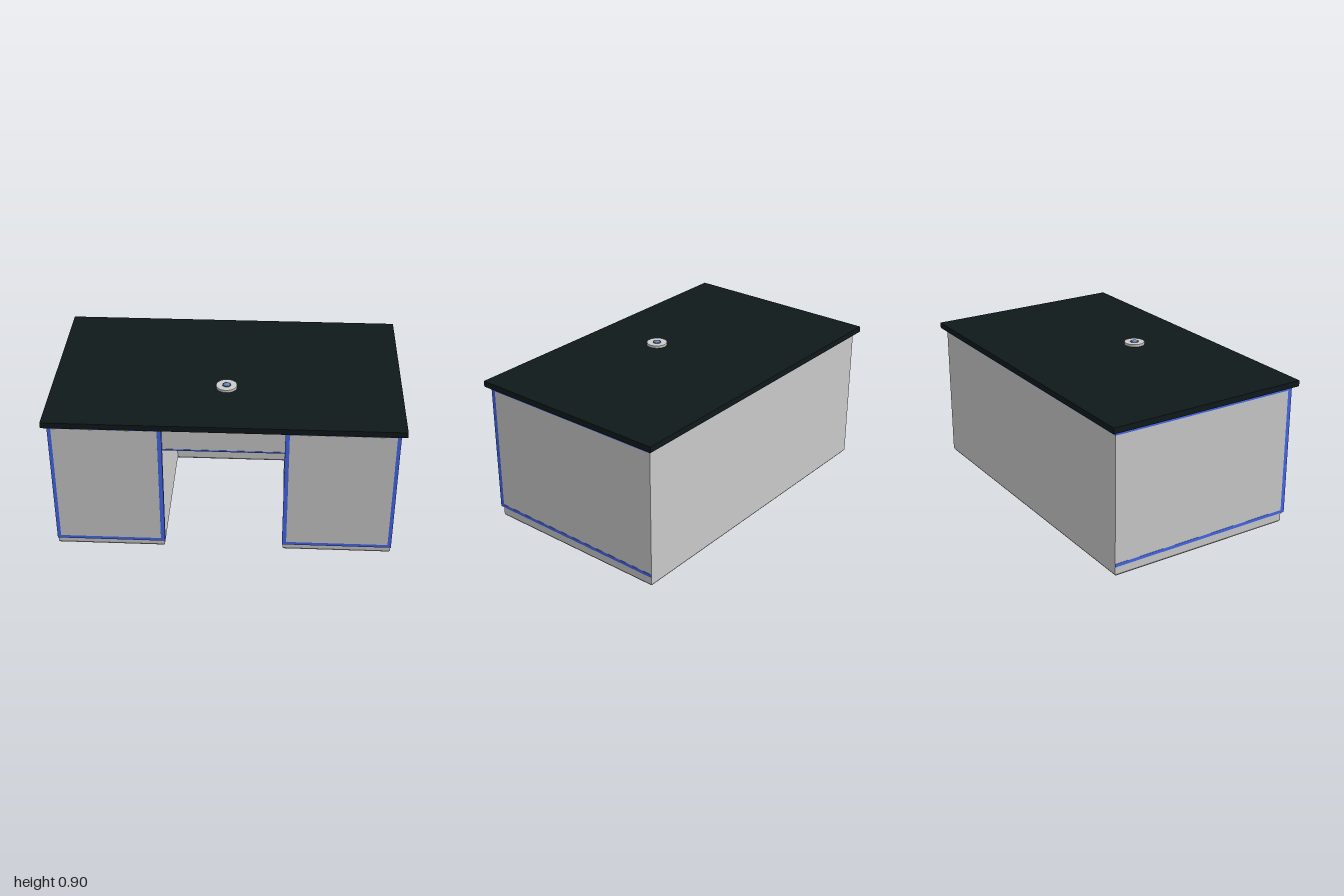
import * as THREE from 'three';

const mat = (color) => new THREE.MeshStandardMaterial({ color });
const GREY = mat(0xcccccc);
const BLUE = mat(0x4468ee);
const BLACK = mat(0x10191b);
const DARK = mat(0x4a4f55);
const GLASS = mat(0x5f8fc0);

const W = 0.97, KNEE = 0.345, BACK = -0.58, FRONT = 0.56, FACE = 0.585;
const KNEE_BACK = -0.33, KNEE_TOP = 0.685, TOP = 0.83;

// Box given by its limits; the bottom edge may be drawn in by `inset`
function block(parent, name, material, [x0, x1], [y0, y1], [z0, z1], inset = 0) {
  const w = x1 - x0, h = y1 - y0, d = z1 - z0;
  const geo = new THREE.BoxGeometry(w, h, d);
  if (inset) {
    const p = geo.attributes.position;
    for (let i = 0; i < p.count; i++) {
      if (p.getY(i) < 0) {
        p.setX(i, p.getX(i) - Math.sign(p.getX(i)) * inset);
        p.setZ(i, p.getZ(i) - Math.sign(p.getZ(i)) * inset);
      }
    }
    geo.computeVertexNormals();
  }
  const mesh = new THREE.Mesh(geo, material);
  mesh.name = name;
  mesh.position.set((x0 + x1) / 2, (y0 + y1) / 2, (z0 + z1) / 2);
  parent.add(mesh);
  return mesh;
}

// Closed plan of the desk body: a U around the knee space, with a chamfered foot
function bodyGeometry() {
  const plan = new THREE.Shape();
  [[-W, BACK], [W, BACK], [W, FRONT], [KNEE, FRONT], [KNEE, KNEE_BACK],
    [-KNEE, KNEE_BACK], [-KNEE, FRONT], [-W, FRONT]]
    .forEach(([x, z], i) => (i ? plan.lineTo(x, -z) : plan.moveTo(x, -z)));
  const geo = new THREE.ExtrudeGeometry(plan, { depth: TOP, bevelEnabled: false });
  geo.rotateX(-Math.PI / 2);
  const p = geo.attributes.position;
  for (let i = 0; i < p.count; i++) {
    if (p.getY(i) < 0.001) {
      const x = p.getX(i), z = p.getZ(i);
      const edge = Math.abs(x) > 0.9 ? -1 : 1;
      p.setX(i, x + Math.sign(x) * edge * 0.007);
      if (z > 0.5) p.setZ(i, z - 0.007);
      else p.setZ(i, z + (z < -0.5 ? 0.007 : -0.007));
    } else p.setY(i, p.getY(i));
  }
  // The chamfer is only the lowest strip, so the walls are a separate straight extrusion
  const walls = new THREE.ExtrudeGeometry(plan, { depth: TOP - 0.01, bevelEnabled: false });
  walls.rotateX(-Math.PI / 2).translate(0, 0.01, 0);
  geo.scale(1, 0.01 / TOP, 1);
  geo.computeVertexNormals();
  return [walls, geo];
}

export function createModel() {
  const desk = new THREE.Group();
  desk.name = 'desk';

  // Body and foot
  const [walls, foot] = bodyGeometry();
  const body = new THREE.Mesh(walls, GREY);
  body.name = 'body';
  const base = new THREE.Mesh(foot, GREY);
  base.name = 'foot';
  desk.add(body, base);

  // Pedestal fronts with their trim, mirrored left and right
  for (const s of [1, -1]) {
    const side = new THREE.Group();
    side.name = s > 0 ? 'leftPedestal' : 'rightPedestal';
    const span = (a, b) => (s > 0 ? [a, b] : [-b, -a]);
    block(side, 'frontFrame', BLUE, span(0.34, W), [0.055, TOP], [FRONT, FACE]);
    block(side, 'frontPanel', GREY, span(0.364, 0.949), [0.075, 0.822], [FRONT, FACE + 0.001]);
    block(side, 'lowerSideTrim', BLUE, span(W - 0.005, W + 0.001), [0.055, 0.074], [BACK, FRONT]);
    block(side, 'upperSideTrim', BLUE, span(W - 0.005, W + 0.001), [0.815, TOP], [BACK, FRONT]);
    desk.add(side);
  }

  // Apron over the knee space
  block(desk, 'apron', GREY, [-KNEE, KNEE], [KNEE_TOP, TOP], [KNEE_BACK, FRONT + 0.005]);
  block(desk, 'apronLowerTrim', BLUE, [-0.34, 0.34], [KNEE_TOP, 0.693], [FRONT, FRONT + 0.007]);
  block(desk, 'apronUpperTrim', BLUE, [-0.34, 0.34], [0.822, TOP], [FRONT, FRONT + 0.007]);
  block(desk, 'backTrim', BLUE, [-W, W], [0.815, TOP], [BACK - 0.001, BACK + 0.005]);

  // Worktop with its underside edge cut back
  block(desk, 'worktop', BLACK, [-1, 1], [0.84, 0.874], [-0.61, 0.61]);
  block(desk, 'worktopLowerEdge', BLACK, [-1, 1], [0.829, 0.84], [-0.61, 0.61], 0.028);

  // Round emitter on the worktop
  const emitter = new THREE.Group();
  emitter.name = 'emitter';
  emitter.position.set(0, 0.874, 0.19);
  const add = (name, geo, material, y) => {
    const m = new THREE.Mesh(geo, material);
    m.name = name;
    m.position.y = y;
    emitter.add(m);
    return m;
  };
  add('emitterDisc', new THREE.CylinderGeometry(0.06, 0.06, 0.015, 32), GREY, 0.0075);
  add('emitterRing', new THREE.TorusGeometry(0.022, 0.003, 8, 24).rotateX(Math.PI / 2), DARK, 0.016);
  add('emitterLens', new THREE.SphereGeometry(0.021, 20, 8, 0, Math.PI * 2, 0, Math.PI / 2)
    .scale(1, 0.5, 1), GLASS, 0.015);
  desk.add(emitter);

  return desk;
}
